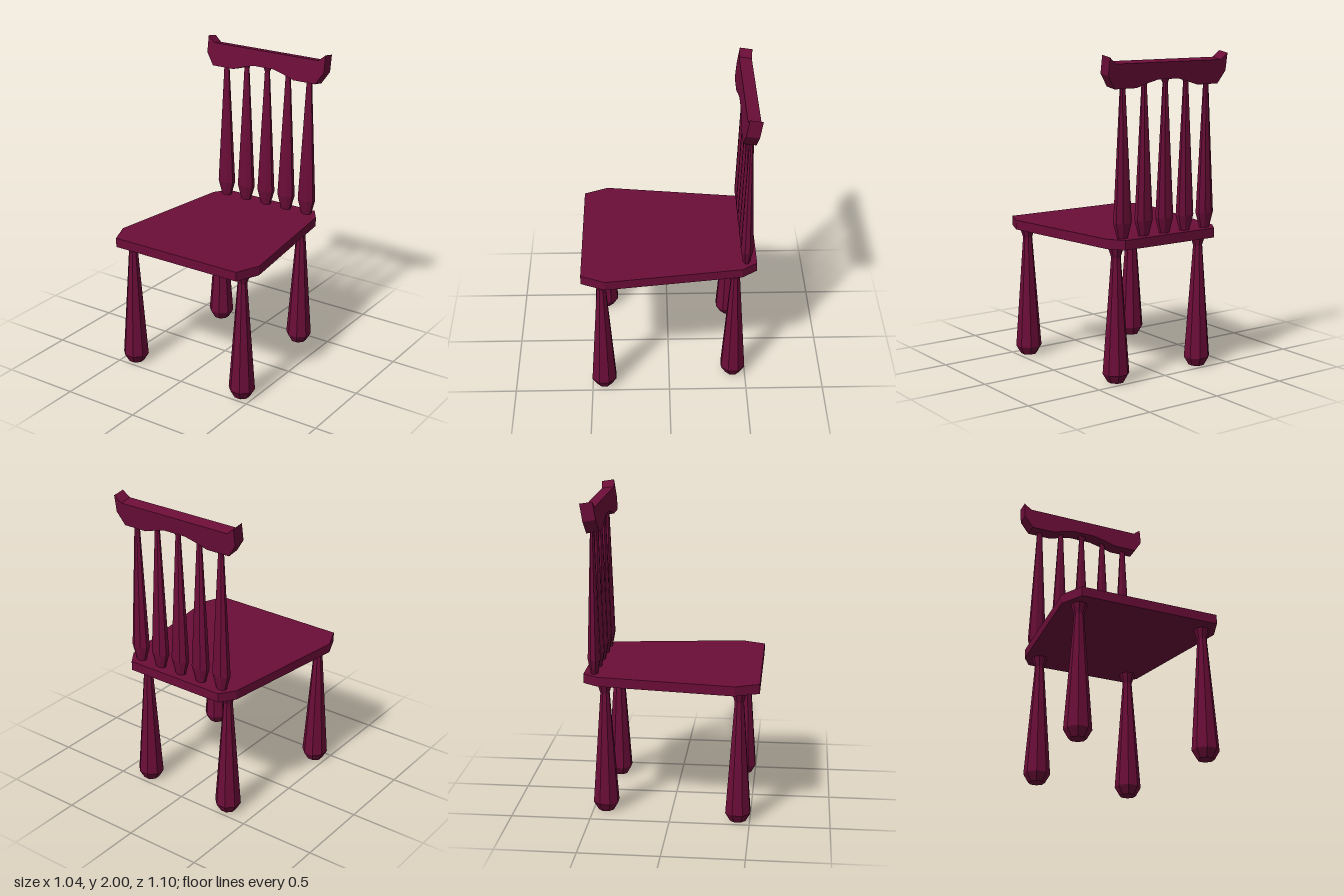
import * as THREE from 'three';

const wood = new THREE.MeshStandardMaterial({ color: 0x6b0d38, flatShading: true });

// Eight-sided turned post from [radius, height] pairs, listed bottom to top
function turnedPost(name, profile, x, y, z, depth = 1) {
  const points = profile.map(([r, h]) => new THREE.Vector2(r, h));
  const mesh = new THREE.Mesh(new THREE.LatheGeometry(points, 8, Math.PI / 8), wood);
  mesh.name = name;
  mesh.position.set(x, y, z);
  mesh.scale.z = depth;
  return mesh;
}

// Outline mirrored about x = 0; the half runs along the +x side
function mirroredShape(half) {
  const all = [...half, ...half.map(([x, y]) => [-x, y]).reverse()];
  return new THREE.Shape(all.map(([x, y]) => new THREE.Vector2(x, y)));
}

export function createModel() {
  const chair = new THREE.Group();
  chair.name = 'chair';

  // Tapered seat board with clipped corners
  const seatShape = mirroredShape([[0.455, -0.55], [0.52, -0.4], [0.408, 0.455], [0.342, 0.55]]);
  const seatGeometry = new THREE.ExtrudeGeometry(seatShape, { depth: 0.06, bevelEnabled: false });
  seatGeometry.rotateX(-Math.PI / 2);
  const seat = new THREE.Mesh(seatGeometry, wood);
  seat.name = 'seat';
  seat.position.y = 0.845;
  chair.add(seat);

  // Legs: wide foot, slim neck, flared top
  const legProfile = [[0, 0], [0.052, 0], [0.084, 0.055], [0.03, 0.78], [0.052, 0.85], [0, 0.85]];
  for (const side of [-1, 1]) {
    chair.add(turnedPost('frontLeg', legProfile, side * 0.418, 0, 0.425));
    chair.add(turnedPost('backLeg', legProfile, side * 0.318, 0, -0.42));
  }

  // Back spindles, flattened front to back
  const spindleProfile = [[0, 0], [0.034, 0], [0.062, 0.1], [0.018, 0.92], [0.035, 0.96], [0, 0.96]];
  for (let i = -2; i <= 2; i++) {
    chair.add(turnedPost('backSpindle', spindleProfile, i * 0.158, 0.9, -0.484, 0.66));
  }

  // Arched top rail with raised ears, leaning back
  const railShape = mirroredShape([
    [0.075, 0.045], [0.15, 0.026], [0.23, 0], [0.39, 0],
    [0.443, 0.08], [0.443, 0.19], [0.395, 0.15],
  ]);
  const railGeometry = new THREE.ExtrudeGeometry(railShape, { depth: 0.08, bevelEnabled: false });
  railGeometry.translate(0, 0, -0.08);
  const rail = new THREE.Mesh(railGeometry, wood);
  rail.name = 'topRail';
  rail.position.set(0, 1.812, -0.428);
  rail.rotation.x = -THREE.MathUtils.degToRad(9);
  chair.add(rail);

  return chair;
}
